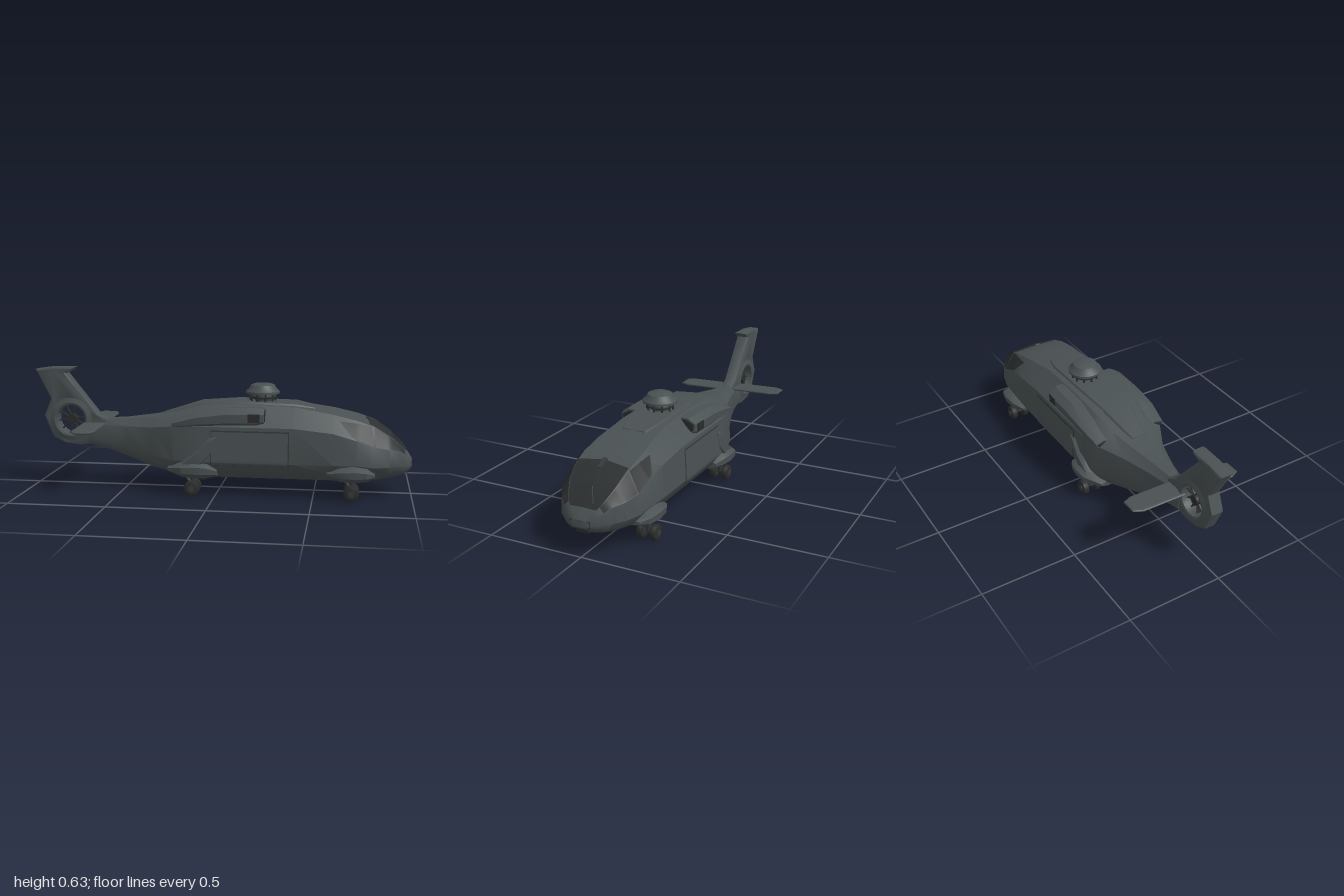
import * as THREE from 'three';
import { toCreasedNormals } from 'three/addons/utils/BufferGeometryUtils.js';

const V = (x, y, z) => new THREE.Vector3(x, y, z);

// Fuselage stations, nose to tail: x, bottom, top, half width, roof half width, low belt y, sill y, sill half width
const STATIONS = [
  [1.0, 0.15, 0.187, 0.05, 0.03, 0.163, 0.176, 0.045],
  [0.975, 0.128, 0.224, 0.095, 0.06, 0.165, 0.21, 0.085],
  [0.94, 0.116, 0.265, 0.135, 0.09, 0.17, 0.242, 0.125],
  [0.88, 0.104, 0.323, 0.175, 0.118, 0.17, 0.257, 0.168],
  [0.8, 0.092, 0.379, 0.2, 0.135, 0.17, 0.273, 0.193],
  [0.72, 0.087, 0.406, 0.212, 0.14, 0.18, 0.305, 0.203],
  [0.6, 0.087, 0.433, 0.218, 0.135, 0.18, 0.34, 0.208],
  [0.4, 0.087, 0.466, 0.22, 0.12, 0.18, 0.362, 0.211],
  [0.1, 0.087, 0.474, 0.22, 0.12, 0.18, 0.362, 0.211],
  [-0.08, 0.087, 0.462, 0.22, 0.118, 0.18, 0.362, 0.21],
  [-0.22, 0.1, 0.418, 0.195, 0.1, 0.18, 0.355, 0.185],
  [-0.35, 0.122, 0.388, 0.13, 0.065, 0.19, 0.335, 0.115],
  [-0.5, 0.17, 0.37, 0.08, 0.035, 0.22, 0.33, 0.07],
  [-0.62, 0.205, 0.363, 0.052, 0.022, 0.24, 0.33, 0.045],
  [-0.71, 0.222, 0.36, 0.04, 0.02, 0.25, 0.33, 0.035],
];

// Half cross-section as [z, y], bottom centre round to top centre
function halfSection([, b, top, w, wr, yLow, yHigh, wHigh]) {
  return [[0, b], [w * 0.6, b], [w * 0.86, b + (yLow - b) * 0.4], [w, yLow],
    [wHigh, yHigh], [wr, top - (top - yHigh) * 0.08], [0, top]];
}

// Point on the hull at x and section parameter t (0 to 6), pushed out by off
function hullPoint(x, t, side, off) {
  let i = 0;
  while (i < STATIONS.length - 2 && STATIONS[i + 1][0] > x) i++;
  const a = STATIONS[i], b = STATIONS[i + 1], k = (x - a[0]) / (b[0] - a[0]);
  const s = a.map((v, n) => v + (b[n] - v) * k);
  const h = halfSection(s), j = Math.min(5, Math.floor(t)), f = t - j;
  const z = h[j][0] + (h[j + 1][0] - h[j][0]) * f;
  const y = h[j][1] + (h[j + 1][1] - h[j][1]) * f;
  const d = V(x > 0.75 ? 0.1 : 0, y - (s[1] + s[2]) / 2, z).setLength(off);
  return V(x + d.x, y + d.y, (z + d.z) * side);
}

// Skin over rings ordered from +x to -x
function loft(rings, closed = true) {
  const pos = [], n = rings[0].length;
  const tri = (...p) => p.forEach(v => pos.push(v.x, v.y, v.z));
  for (let i = 0; i < rings.length - 1; i++)
    for (let j = 0; j < (closed ? n : n - 1); j++) {
      const k = (j + 1) % n, r = rings[i], s = rings[i + 1];
      tri(r[j], r[k], s[k]);
      tri(r[j], s[k], s[j]);
    }
  if (closed) for (let j = 1; j < n - 1; j++) {
    const r = rings[0], s = rings[rings.length - 1];
    tri(r[0], r[j + 1], r[j]);
    tri(s[0], s[j], s[j + 1]);
  }
  const g = new THREE.BufferGeometry();
  g.setAttribute('position', new THREE.Float32BufferAttribute(pos, 3));
  return toCreasedNormals(g, 0.55);
}

const mirrored = (pts, side) => (side < 0 ? pts.reverse() : pts);

// Four-cornered panel following the hull; corners [x, t]: front low, front high, rear high, rear low
function panel(corners, side, off) {
  const [a, b, c, d] = corners, N = 14, rows = [];
  const mix = (p, q, k) => p + (q - p) * k;
  for (let i = 0; i <= N; i++) {
    const row = [];
    for (let j = 0; j <= N; j++) {
      const u = i / N, v = j / N;
      row.push(hullPoint(mix(mix(a[0], d[0], u), mix(b[0], c[0], u), v),
        mix(mix(a[1], d[1], u), mix(b[1], c[1], u), v), side, off));
    }
    rows.push(mirrored(row, side));
  }
  return loft(rows, false);
}

// Faceted side pod from stations [x, bottom, top, outer z]
function pod(stations, side, zIn) {
  return loft(stations.map(([x, b, t, z]) => {
    const h = t - b;
    return mirrored([[zIn, b], [z - 0.035, b], [z - 0.003, b + h * 0.3], [z, b + h * 0.72], [z - 0.04, t], [zIn, t]]
      .map(([pz, py]) => V(x, py, pz * side)), side);
  }));
}

export function createModel() {
  const root = new THREE.Group();
  const mat = (name, color) => Object.assign(new THREE.MeshStandardMaterial({ color }), { name });
  const paint = mat('greyPaint', 0x4a5153);
  const glass = mat('darkGlass', 0x2d3031);
  glass.side = THREE.DoubleSide;
  const rubber = mat('rubber', 0x2b2c2c);
  const trim = mat('darkTrim', 0x363a3b);
  const add = (name, geo, m, x = 0, y = 0, z = 0) => {
    const o = new THREE.Mesh(geo, m);
    o.name = name;
    o.position.set(x, y, z);
    root.add(o);
    return o;
  };
  const rod = (name, a, b, r, m) => {
    const o = add(name, new THREE.CylinderGeometry(r, r, a.distanceTo(b), 8), m);
    o.position.copy(a).add(b).multiplyScalar(0.5);
    o.quaternion.setFromUnitVectors(V(0, 1, 0), b.clone().sub(a).normalize());
  };
  const lathe = (pts, n) => new THREE.LatheGeometry(pts.map(p => new THREE.Vector2(...p)), n);

  // Hull
  add('fuselage', loft(STATIONS.map(s => {
    const h = halfSection(s);
    return [...h, ...h.slice(1, 6).reverse().map(([z, y]) => [-z, y])].map(([z, y]) => V(s[0], y, z));
  })), paint);

  // Nose sensor, vent and chin turret
  add('noseIntake', new THREE.BoxGeometry(0.04, 0.034, 0.105), trim, 0.979, 0.168, 0);
  add('noseVent', new THREE.BoxGeometry(0.03, 0.026, 0.07), rubber, 0.967, 0.132, 0);
  add('chinTurret', new THREE.SphereGeometry(0.021, 14, 10), trim, 0.9, 0.11, 0);

  const tyre = lathe([[0.014, -0.017], [0.033, -0.017], [0.04, -0.01], [0.04, 0.01], [0.033, 0.017], [0.014, 0.017]], 24)
    .rotateX(Math.PI / 2);
  const rim = new THREE.CylinderGeometry(0.017, 0.017, 0.038, 14).rotateX(Math.PI / 2);

  for (const s of [1, -1]) {
    // Cockpit glazing with slim pillars left between panes
    add('windscreen', panel([[0.966, 5.0], [0.966, 6], [0.765, 6], [0.78, 5.05]], s, 0.004), glass);
    add('frontSideWindow', panel([[0.96, 4.06], [0.955, 4.94], [0.8, 4.97], [0.81, 4.03]], s, 0.004), glass);
    add('rearSideWindow', panel([[0.8, 4.03], [0.79, 4.96], [0.63, 4.72], [0.69, 4.12]], s, 0.004), glass);
    rod('wiper', hullPoint(0.952, 5.45, s, 0.008), hullPoint(0.895, 5.9, s, 0.008), 0.003, rubber);

    // Sliding door with dark seam
    add('doorSeam', panel([[0.38, 2.75], [0.38, 3.9], [-0.02, 3.9], [-0.02, 2.75]], s, 0.002), trim);
    add('slidingDoor', panel([[0.374, 2.8], [0.374, 3.86], [-0.015, 3.86], [-0.015, 2.8]], s, 0.005), paint);

    // Engine nacelle and intake
    add('engineNacelle', pod([[0.25, 0.365, 0.454, 0.208], [0.21, 0.355, 0.458, 0.217], [0.05, 0.35, 0.456, 0.219],
      [-0.1, 0.347, 0.43, 0.217], [-0.22, 0.345, 0.385, 0.2]], s, 0.09), paint);
    add('engineIntake', pod([[0.254, 0.375, 0.447, 0.2], [0.249, 0.375, 0.447, 0.2]], s, 0.13), rubber);
    add('intakeScreen', new THREE.BoxGeometry(0.06, 0.042, 0.008), rubber, 0.2, 0.41, 0.215 * s);
    add('exhaust', pod([[-0.215, 0.35, 0.38, 0.192], [-0.224, 0.35, 0.38, 0.192]], s, 0.11), rubber);

    // Landing gear sponsons, the rear pair with a leaning fairing up to the nacelle
    add('frontSponson', pod([[0.81, 0.115, 0.14, 0.2], [0.77, 0.1, 0.168, 0.24], [0.7, 0.095, 0.178, 0.253],
      [0.63, 0.1, 0.168, 0.246], [0.57, 0.12, 0.145, 0.215]], s, 0.13), paint);
    add('rearSponson', pod([[0.01, 0.1, 0.145, 0.215], [-0.04, 0.095, 0.175, 0.245], [-0.1, 0.094, 0.182, 0.255],
      [-0.17, 0.1, 0.175, 0.25], [-0.25, 0.115, 0.145, 0.19]], s, 0.12), paint);
    add('rearSponsonFairing', pod([[0.01, 0.24, 0.335, 0.222], [-0.03, 0.165, 0.335, 0.228], [-0.08, 0.12, 0.275, 0.233],
      [-0.15, 0.105, 0.205, 0.23], [-0.21, 0.105, 0.155, 0.21]], s, 0.12), paint);

    // Twin wheels on angled legs
    for (const x of [0.695, -0.118]) {
      rod('gearLeg', V(x, 0.04, 0.184 * s), V(x + 0.012, 0.12, 0.184 * s), 0.014, trim);
      rod('gearBrace', V(x, 0.05, 0.184 * s), V(x - 0.05, 0.12, 0.184 * s), 0.008, trim);
      rod('axle', V(x, 0.041, 0.14 * s), V(x, 0.041, 0.228 * s), 0.009, trim);
      for (const z of [0.15, 0.22]) {
        add('tyre', tyre, rubber, x, 0.041, z * s);
        add('wheelRim', rim, trim, x, 0.041, z * s);
      }
    }
  }
  add('windscreenPillar', new THREE.BoxGeometry(0.06, 0.008, 0.024), trim, 0.79, 0.385, 0).rotation.z = -0.5;

  // Raised gearbox fairing on the roof
  add('gearboxFairing', loft([[0.5, 0.45, 0.06], [0.4, 0.469, 0.085], [0.1, 0.477, 0.085], [-0.1, 0.463, 0.07], [-0.3, 0.402, 0.035]]
    .map(([x, y, w]) => [[w + 0.02, y - 0.03], [w, y], [-w, y], [-w - 0.02, y - 0.03]].map(([z, py]) => V(x, py, z)))), paint);

  // Rotor head
  const hubX = 0.225;
  add('rotorMast', new THREE.CylinderGeometry(0.036, 0.045, 0.07, 20), trim, hubX, 0.49, 0);
  add('rotorRing', new THREE.TorusGeometry(0.06, 0.011, 8, 28).rotateX(Math.PI / 2), trim, hubX, 0.498, 0);
  for (let i = 0; i < 10; i++) {
    const a = i * Math.PI / 5;
    add('rotorLink', new THREE.CylinderGeometry(0.006, 0.006, 0.034, 6), rubber,
      hubX + Math.cos(a) * 0.066, 0.492, Math.sin(a) * 0.066);
  }
  const cap = [[0, 0.513], [0.088, 0.513], [0.088, 0.524], [0.073, 0.537], [0.062, 0.556], [0.045, 0.563], [0, 0.566]];
  add('rotorCap', toCreasedNormals(lathe(cap, 28), 0.6), paint, hubX);

  // Tail fin with ducted fan
  const fan = V(-0.805, 0.355, 0);
  const fin = new THREE.Shape([[-0.998, 0.622], [-0.917, 0.464], [-0.955, 0.373], [-0.907, 0.256], [-0.843, 0.224],
    [-0.752, 0.213], [-0.69, 0.228], [-0.62, 0.24], [-0.6, 0.355], [-0.655, 0.388], [-0.763, 0.523], [-0.827, 0.603],
    [-0.8, 0.613], [-0.78, 0.635], [-0.907, 0.635]].map(p => new THREE.Vector2(...p)));
  fin.holes.push(new THREE.Path().absarc(fan.x, fan.y, 0.078, 0, Math.PI * 2, true));
  const finGeo = new THREE.ExtrudeGeometry(fin, { depth: 0.044, curveSegments: 32, bevelSize: 0.012,
    bevelOffset: -0.012, bevelThickness: 0.014, bevelSegments: 2 });
  add('tailFin', toCreasedNormals(finGeo, 0.5), paint, 0, 0, -0.022);
  const duct = [[0.079, -0.04], [0.09, -0.044], [0.122, -0.034], [0.122, 0.034], [0.09, 0.044], [0.079, 0.04], [0.079, -0.04]];
  add('fanDuct', toCreasedNormals(lathe(duct, 36).rotateX(Math.PI / 2), 0.5), paint, fan.x, fan.y, 0);
  add('fanHub', new THREE.CylinderGeometry(0.026, 0.026, 0.05, 18).rotateX(Math.PI / 2), rubber, fan.x, fan.y, 0);
  for (let i = 0; i < 10; i++) {
    const a = i * Math.PI / 5 + 0.15;
    const blade = add('fanBlade', new THREE.BoxGeometry(0.07, 0.005, 0.022), rubber,
      fan.x + Math.cos(a) * 0.05, fan.y + Math.sin(a) * 0.05, 0);
    blade.rotation.z = a;
  }

  // Tailplane halves, tapered at the tips and slightly tilted
  const plane = new THREE.Shape([[-0.715, 0.305], [-0.737, 0.26], [-0.737, 0.02], [-0.617, 0.02], [-0.617, 0.26],
    [-0.635, 0.305]].map(p => new THREE.Vector2(...p)));
  for (const s of [1, -1]) {
    const geo = new THREE.ExtrudeGeometry(plane, { depth: 0.004, bevelSize: 0.014, bevelOffset: -0.014,
      bevelThickness: 0.005, bevelSegments: 2 });
    const half = add('tailplane', geo.rotateX(s * Math.PI / 2), paint, 0, 0.337, 0);
    half.rotation.x = 0.025;
  }
  return root;
}
